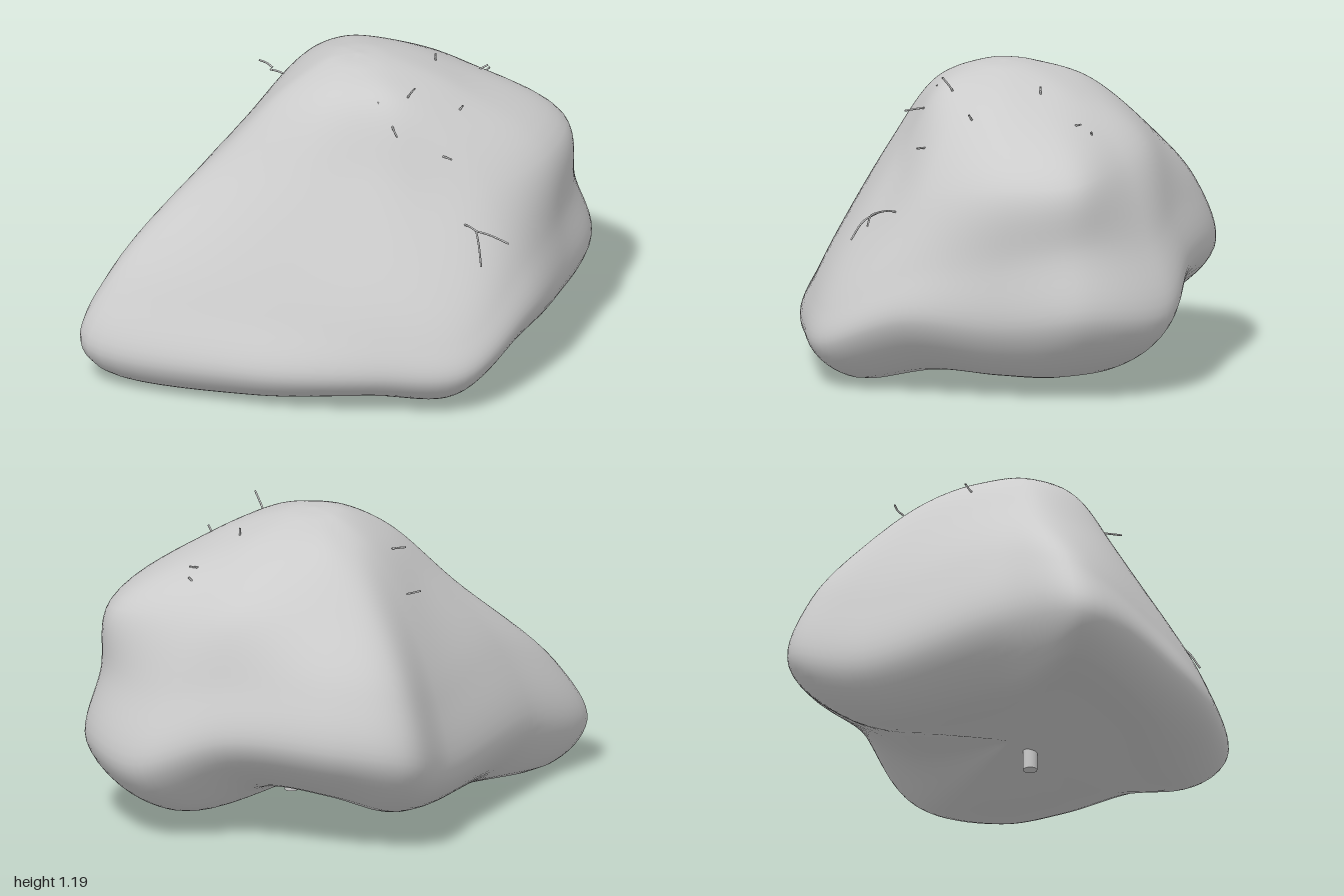
import * as THREE from 'three';
import { mergeVertices } from 'three/addons/utils/BufferGeometryUtils.js';

const V = (x, y, z) => new THREE.Vector3(x, y, z);
const grey = new THREE.MeshStandardMaterial({ color: 0xcccccc, side: THREE.DoubleSide });

// Vertical axis of the boulder: hollow underside, flat crown
const AXIS = { x: 0.1, z: 0, bottom: 0.12, top: 1.19 };
const CROWN = [0.12, 1.175];

// One rib per row: bearing in degrees (0 = +x, 90 = +z), then radius, height
// pairs for the foot, the widest point, two points up the flank and the shoulder
const RIBS = [
  [162, 1.0, 0.02, 1.155, 0.17, 1.02, 0.42, 0.6, 0.8, 0.31, 1.08],
  [127, 0.7, 0.02, 0.84, 0.15, 0.74, 0.38, 0.48, 0.83, 0.28, 1.1],
  [90, 0.6, 0.03, 0.79, 0.16, 0.74, 0.36, 0.43, 0.86, 0.27, 1.11],
  [67, 0.7, 0.03, 0.87, 0.17, 0.82, 0.34, 0.51, 0.79, 0.31, 1.1],
  [42, 0.6, 0.09, 0.82, 0.3, 0.77, 0.5, 0.62, 0.8, 0.35, 1.08],
  [15, 0.6, 0.08, 0.8, 0.28, 0.78, 0.55, 0.74, 0.83, 0.4, 1.07],
  [-7, 0.65, 0.075, 0.905, 0.32, 0.84, 0.6, 0.8, 0.85, 0.38, 1.08],
  [-31, 0.65, 0.1, 0.89, 0.3, 0.79, 0.6, 0.65, 0.89, 0.36, 1.09],
  [-55, 0.52, 0.22, 0.76, 0.43, 0.7, 0.67, 0.59, 0.92, 0.33, 1.1],
  [-89, 0.55, 0.2, 0.82, 0.42, 0.75, 0.68, 0.55, 0.92, 0.32, 1.11],
  [-107, 0.62, 0.15, 0.855, 0.37, 0.77, 0.65, 0.56, 0.9, 0.32, 1.1],
  [-130, 0.5, 0.08, 0.69, 0.25, 0.63, 0.55, 0.47, 0.87, 0.29, 1.09],
  [-180, 0.6, 0.05, 0.83, 0.25, 0.72, 0.58, 0.45, 0.91, 0.29, 1.075],
];

// Skin stretched over the ribs: splines up each rib, then closed splines around
function boulderGeometry(rows = 56, cols = 117) {
  const ribs = RIBS.map(([deg, ...p]) => {
    const a = THREE.MathUtils.degToRad(deg);
    p.push(...CROWN);
    const points = [V(AXIS.x, AXIS.bottom, AXIS.z)];
    for (let i = 0; i < p.length; i += 2) {
      points.push(V(AXIS.x + p[i] * Math.cos(a), p[i + 1], AXIS.z + p[i] * Math.sin(a)));
    }
    points.push(V(AXIS.x, AXIS.top, AXIS.z));
    return new THREE.CatmullRomCurve3(points);
  });
  const positions = [], index = [];
  for (let r = 0; r <= rows; r++) {
    const ring = new THREE.CatmullRomCurve3(ribs.map((rib) => rib.getPoint(r / rows)), true);
    for (let c = 0; c < cols; c++) {
      const p = ring.getPoint(c / cols);
      positions.push(p.x, Math.max(p.y, 0), p.z);
      if (r === rows) continue;
      const a = r * cols + c, b = r * cols + ((c + 1) % cols);
      index.push(a, b, b + cols, a, b + cols, a + cols);
    }
  }
  const geometry = new THREE.BufferGeometry();
  geometry.setAttribute('position', new THREE.Float32BufferAttribute(positions, 3));
  geometry.setIndex(index);
  const merged = mergeVertices(geometry, 1e-5);
  merged.computeVertexNormals();
  return merged;
}

// Thin sprig following a few points
function sprig(...points) {
  const path = new THREE.CatmullRomCurve3(points.map((p) => V(...p)));
  const mesh = new THREE.Mesh(new THREE.TubeGeometry(path, 8, 0.004, 5), grey);
  mesh.name = 'sprig';
  return mesh;
}

export function createModel() {
  const model = new THREE.Group();
  model.name = 'boulder';

  const rock = new THREE.Mesh(boulderGeometry(), grey);
  rock.name = 'rock';
  model.add(rock);

  // Short peg under the rock
  const peg = new THREE.Mesh(new THREE.CylinderGeometry(0.028, 0.028, 0.1, 16), grey);
  peg.name = 'peg';
  peg.position.set(0.18, 0.085, 0.07);
  model.add(peg);

  // Forked sprig on the front, then small ones scattered over the crown
  const sprigs = new THREE.Group();
  sprigs.name = 'sprigs';
  sprigs.add(
    sprig([0.45, 0.68, 0.48], [0.48, 0.7, 0.55], [0.5, 0.7, 0.59]),
    sprig([0.5, 0.7, 0.59], [0.55, 0.7, 0.63], [0.62, 0.675, 0.66]),
    sprig([0.5, 0.7, 0.59], [0.505, 0.67, 0.65], [0.51, 0.6, 0.7]),
    sprig([0.24, 1.02, 0.2], [0.27, 1.12, 0.25], [0.29, 1.17, 0.29]),
    sprig([0.2, 1.03, 0.28], [0.2, 1.035, 0.35], [0.21, 1.03, 0.42]),
    sprig([0.37, 0.9, 0.34], [0.39, 0.92, 0.38], [0.42, 0.925, 0.42]),
    sprig([0.45, 1.01, 0.19], [0.465, 1.03, 0.21], [0.48, 1.06, 0.23]),
    sprig([0.15, 1.08, 0.25], [0.15, 1.09, 0.26], [0.15, 1.11, 0.28]),
    sprig([0.4, 1.06, -0.07], [0.4, 1.1, -0.07], [0.4, 1.14, -0.07]),
    sprig([0.5, 0.98, -0.17], [0.55, 1.01, -0.16], [0.61, 1.03, -0.18]),
    sprig([0.55, 0.94, -0.23], [0.58, 0.96, -0.23], [0.62, 1.0, -0.22]),
    sprig([-0.2, 0.95, -0.39], [-0.22, 0.96, -0.41], [-0.25, 0.97, -0.42]),
    sprig([-0.18, 1.05, -0.13], [-0.2, 1.055, -0.14], [-0.23, 1.06, -0.15]),
  );
  model.add(sprigs);
  return model;
}
